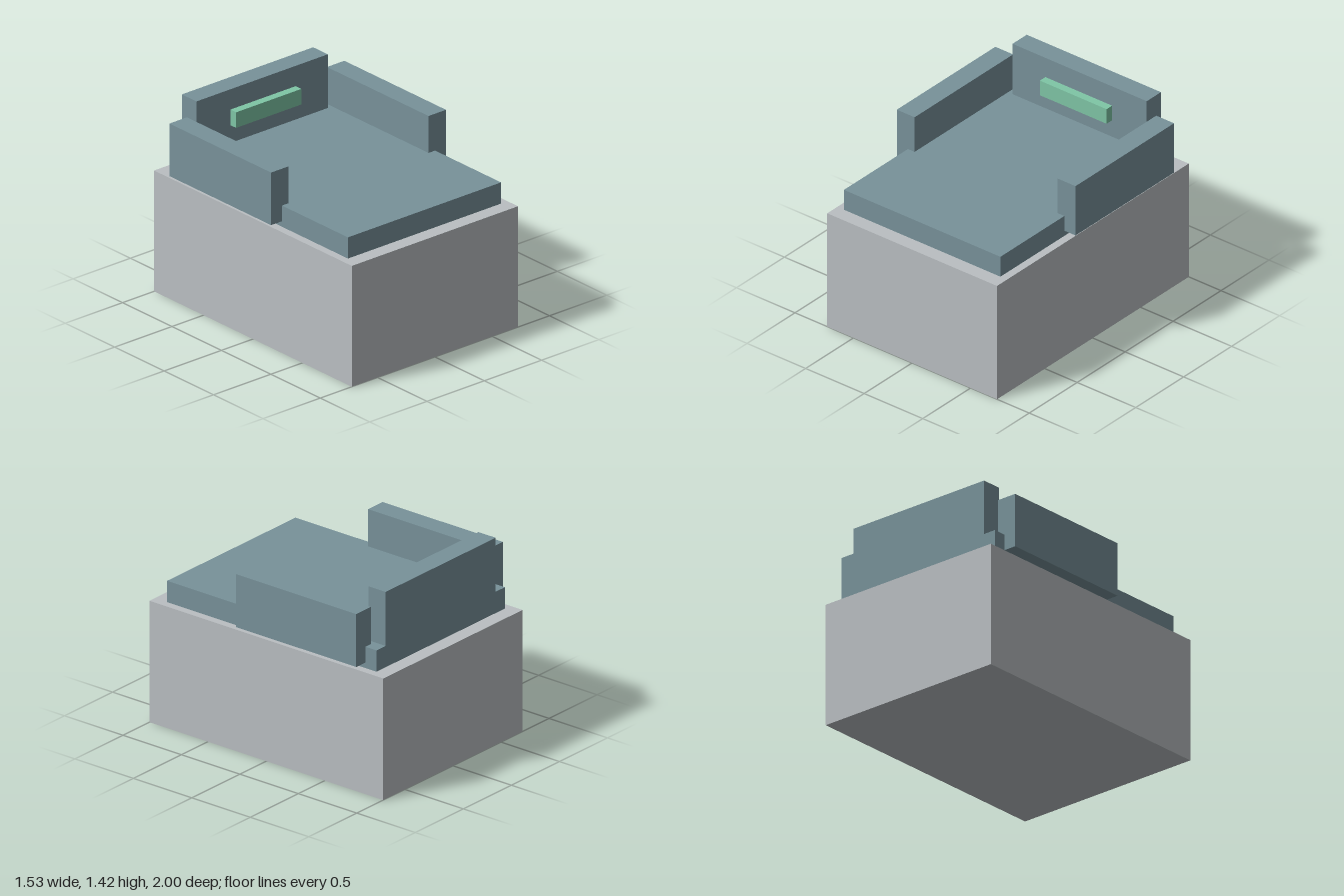
import * as THREE from 'three';

const material = (name, color) => {
  const m = new THREE.MeshStandardMaterial({ color });
  m.name = name;
  return m;
};

export function createModel() {
  const model = new THREE.Group();
  model.name = 'armchair';
  const grey = material('pale grey', 0xbabfc2);
  const blue = material('slate blue', 0x78929a);
  const green = material('mint green', 0x7fc6a6);

  // Box given by its extents on each axis
  const addBox = (name, mat, [x0, x1], [y0, y1], [z0, z1]) => {
    const mesh = new THREE.Mesh(new THREE.BoxGeometry(x1 - x0, y1 - y0, z1 - z0), mat);
    mesh.position.set((x0 + x1) / 2, (y0 + y1) / 2, (z0 + z1) / 2);
    mesh.name = name;
    model.add(mesh);
  };

  // Plinth, seat and backrest
  addBox('base', grey, [-0.725, 0.725], [0, 0.878], [-1, 1]);
  addBox('seat', blue, [-0.668, 0.668], [0.878, 1.032], [-0.895, 0.895]);
  addBox('backrest', blue, [-0.573, 0.573], [1.032, 1.422], [-0.895, -0.747]);

  // Armrests, overhanging the seat edges
  addBox('leftArmrest', blue, [0.611, 0.763], [0.918, 1.3], [-0.8, 0.228]);
  addBox('rightArmrest', blue, [-0.763, -0.611], [0.918, 1.3], [-0.8, 0.228]);

  // Bar in front of the backrest
  addBox('backBar', green, [-0.285, 0.285], [1.167, 1.28], [-0.738, -0.68]);

  return model;
}
